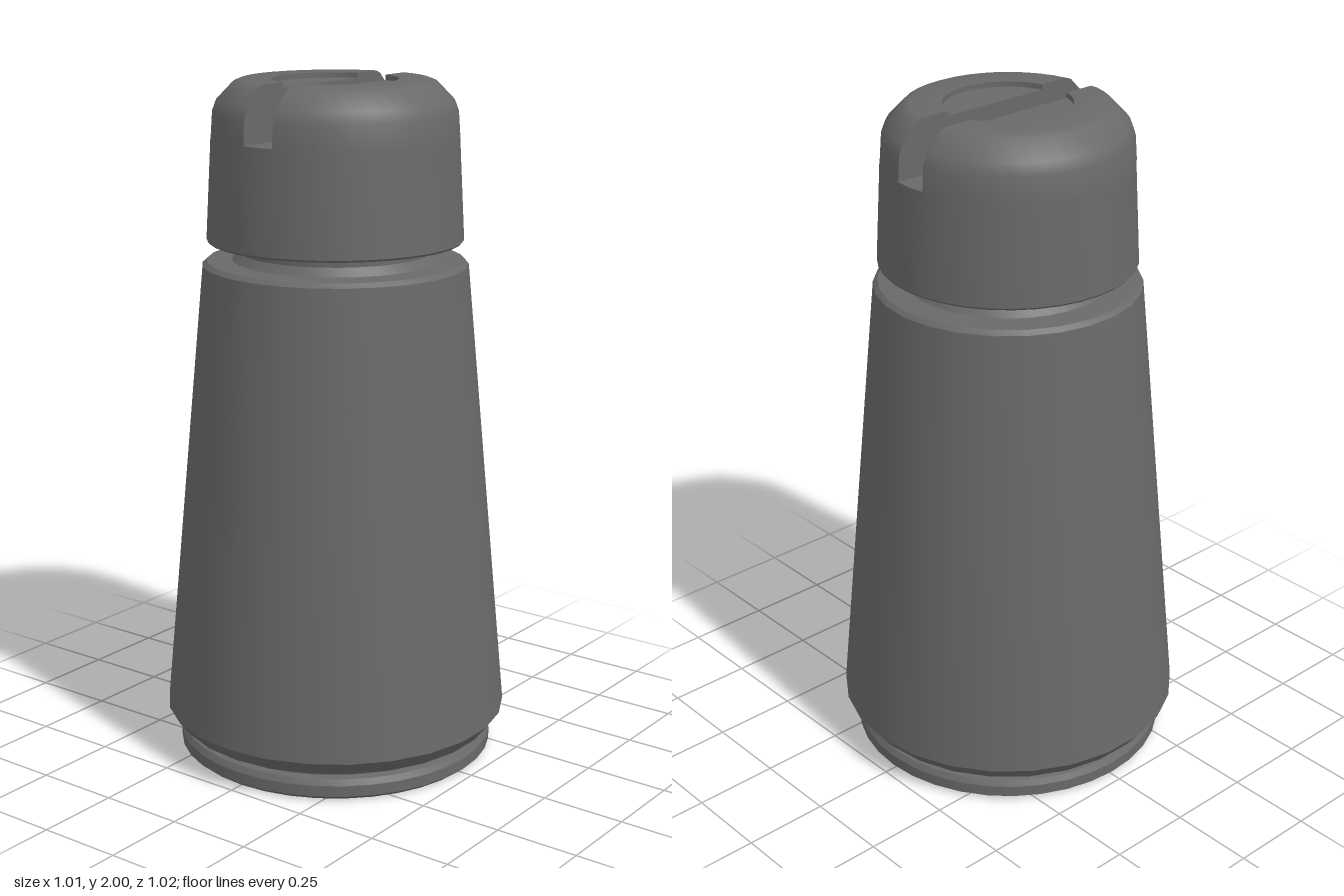
import * as THREE from 'three';
import { toCreasedNormals } from 'three/addons/utils/BufferGeometryUtils.js';

const SLOT = 0.05;        // half width of the slot
const SLOT_FLOOR = 1.84;

const points = (list) => list.map(([r, y]) => new THREE.Vector2(r, y));

export function createModel() {
  const group = new THREE.Group();
  group.name = 'slottedPlug';
  const darkGrey = new THREE.MeshStandardMaterial({ color: 0x696969 });
  darkGrey.name = 'darkGrey';

  const add = (parent, name, geometry) => {
    const mesh = new THREE.Mesh(geometry, darkGrey);
    mesh.name = name;
    parent.add(mesh);
    return mesh;
  };
  const turned = (name, profile, sides) =>
    add(group, name, toCreasedNormals(new THREE.LatheGeometry(points(profile), sides), 0.5));

  // Foot ring below a narrow groove
  turned('foot', [[0, 0], [0.455, 0], [0.47, 0.012], [0.47, 0.045], [0.46, 0.062],
    [0.44, 0.066], [0.44, 0.09]], 36);

  // Tapered body with a bevelled lower edge
  turned('body', [[0.42, 0.085], [0.475, 0.085], [0.51, 0.13], [0.385, 1.472],
    [0.372, 1.484], [0.27, 1.487]], 26);

  // Recessed neck
  turned('neck', [[0.3, 1.484], [0.28, 1.51], [0.28, 1.545]], 36);

  // Solid lower cap, ending at the slot floor
  turned('capBase', [[0.27, 1.54], [0.366, 1.54], [0.371, 1.546], [0.355, SLOT_FLOOR],
    [0, SLOT_FLOOR]], 36);

  // Two cap halves beside the slot, with a shallow round recess on top
  const capProfile = [[0.355, SLOT_FLOOR], [0.35, 1.91], [0.338, 1.942], [0.29, 1.992],
    [0.27, 2], [0.18, 2], [0.18, 1.985], [SLOT, 1.985]];
  const halfGeometry = new THREE.LatheGeometry(points(capProfile), 18, 0, Math.PI);
  const pos = halfGeometry.attributes.position;
  for (let i = 0; i < pos.count; i++) {
    // Squeeze each half ring so that it starts and ends on the slot wall
    const r = Math.hypot(pos.getX(i), pos.getZ(i));
    const start = Math.asin(Math.min(1, SLOT / r));
    const angle = start + Math.atan2(pos.getX(i), pos.getZ(i)) * (1 - 2 * start / Math.PI);
    pos.setX(i, r * Math.sin(angle));
    pos.setZ(i, r * Math.cos(angle));
  }
  const capGeometry = toCreasedNormals(halfGeometry, 0.5);

  // Flat slot wall following the cap outline
  const half = capProfile.map(([r, y]) => [Math.sqrt(Math.max(0, r * r - SLOT * SLOT)), y]);
  const outline = [...half, ...half.slice(0, -1).reverse().map(([z, y]) => [-z, y])];
  const wallGeometry = new THREE.ShapeGeometry(new THREE.Shape(points(outline)));
  wallGeometry.rotateY(-Math.PI / 2).translate(SLOT, 0, 0);

  for (const side of ['left', 'right']) {
    const capHalf = new THREE.Group();
    capHalf.name = side + 'CapHalf';
    add(capHalf, side + 'CapShell', capGeometry);
    add(capHalf, side + 'SlotWall', wallGeometry);
    if (side === 'right') capHalf.rotation.y = Math.PI;
    group.add(capHalf);
  }

  return group;
}
